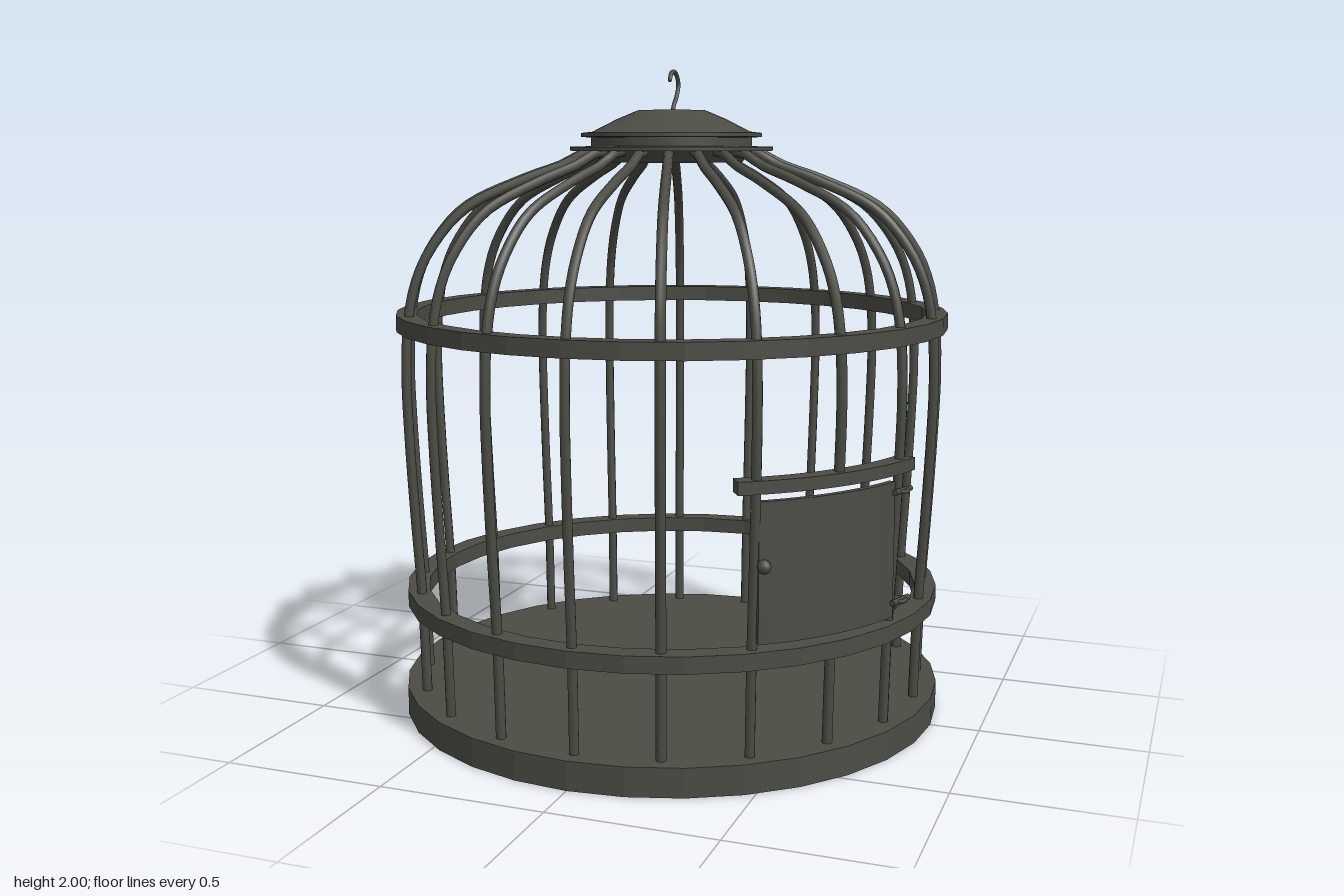
import * as THREE from 'three';
import { toCreasedNormals } from 'three/addons/utils/BufferGeometryUtils.js';

const DEG = Math.PI / 180;

export function createModel() {
  const model = new THREE.Group();
  model.name = 'birdcage';
  const iron = new THREE.MeshStandardMaterial({ color: 0x4c4c45 });
  iron.name = 'darkIron';

  function add(name, geometry, parent = model) {
    const mesh = new THREE.Mesh(geometry, iron);
    mesh.name = name;
    parent.add(mesh);
    return mesh;
  }
  // Profile points are [radius, height], running upward on the outside
  function turned(points, sides = 32, crease = 0.1) {
    const profile = points.map(([r, y]) => new THREE.Vector2(r, y));
    return toCreasedNormals(new THREE.LatheGeometry(profile, sides), crease);
  }
  function hoop(name, inner, outer, y0, y1) {
    add(name, turned([[inner, y0], [outer, y0], [outer, y1], [inner, y1], [inner, y0]]));
  }
  // Curved plate that follows the cage wall between two angles
  function wallPlate(inner, outer, from, to, y0, y1) {
    const s = new THREE.Shape();
    s.absarc(0, 0, outer, from * DEG, to * DEG, false);
    s.absarc(0, 0, inner, to * DEG, from * DEG, true);
    const g = new THREE.ExtrudeGeometry(s, { depth: y1 - y0, bevelEnabled: false, curveSegments: 8 });
    g.rotateX(Math.PI / 2);
    g.translate(0, y1, 0);
    return toCreasedNormals(g, 0.4);
  }
  function onWall(mesh, radius, angle, y) {
    mesh.position.set(radius * Math.cos(angle * DEG), y, radius * Math.sin(angle * DEG));
    mesh.rotation.y = -angle * DEG;
    return mesh;
  }

  // Base and hoops
  add('base', turned([[0, 0], [0.85, 0], [0.85, 0.087], [0, 0.087]]));
  hoop('lowerHoop', 0.775, 0.842, 0.35, 0.4);
  hoop('upperHoop', 0.795, 0.858, 1.21, 1.26);

  // Bars
  function barGeometry(points) {
    const path = new THREE.CatmullRomCurve3(points.map(([r, y]) => new THREE.Vector3(r, y, 0)));
    return new THREE.TubeGeometry(path, points.length * 4, 0.015, 8, false);
  }
  const dome = [[0.83, 0.9], [0.834, 1.07], [0.825, 1.24], [0.8, 1.36], [0.753, 1.46], [0.65, 1.577],
    [0.465, 1.665], [0.34, 1.71], [0.27, 1.746], [0.2, 1.75]];
  const fullBar = barGeometry([[0.793, 0.07], [0.802, 0.38], [0.818, 0.65], ...dome]);
  const shortUpper = barGeometry([[0.828, 0.86], ...dome.slice(1)]);
  const shortLower = barGeometry([[0.793, 0.07], [0.797, 0.22], [0.802, 0.38]]);
  const bars = new THREE.Group();
  bars.name = 'bars';
  model.add(bars);
  for (let i = 0; i < 20; i++) {
    // The bar at the doorway is interrupted
    const pieces = i === 2 ? [shortUpper, shortLower] : [fullBar];
    for (const g of pieces) add('bar', g, bars).rotation.y = -i * 18 * DEG;
  }

  // Crown with two thin flanges
  add('crown', turned([[0, 1.717], [0.22, 1.717], [0.245, 1.75], [0.315, 1.752], [0.315, 1.764],
    [0.25, 1.766], [0.25, 1.792], [0.28, 1.794], [0.28, 1.806], [0.245, 1.81],
    [0.17, 1.848], [0.105, 1.875], [0, 1.877]], 32, 0.5));

  // Hanging hook
  const hookPath = new THREE.CatmullRomCurve3([[1.86, -0.01], [1.885, -0.015], [1.92, -0.045], [1.955, -0.06],
    [1.982, -0.045], [1.993, -0.018], [1.985, 0.006], [1.967, 0.016]]
    .map(([y, z]) => new THREE.Vector3(0, y, z)));
  add('hook', new THREE.TubeGeometry(hookPath, 32, 0.007, 8, false));
  add('hookTip', new THREE.SphereGeometry(0.007, 8, 6)).position.set(0, 1.967, 0.016);

  // Door, lintel, knob and hinges
  const door = new THREE.Group();
  door.name = 'door';
  model.add(door);
  add('doorPanel', wallPlate(0.815, 0.835, 20, 53.5, 0.42, 0.82), door);
  add('lintel', wallPlate(0.8, 0.856, 15, 58, 0.845, 0.882), door);
  onWall(add('doorKnob', new THREE.SphereGeometry(0.02, 12, 8), door), 0.838, 52.5, 0.64);
  for (const y of [0.465, 0.79]) {
    const pin = new THREE.CylinderGeometry(0.009, 0.009, 0.09, 8);
    pin.rotateX(Math.PI / 2);
    onWall(add('hingePin', pin, door), 0.842, 18, y);
    const ring = new THREE.TorusGeometry(0.022, 0.007, 6, 14);
    ring.rotateX(Math.PI / 2);
    onWall(add('hingeRing', ring, door), 0.835, 18, y);
  }
  return model;
}
